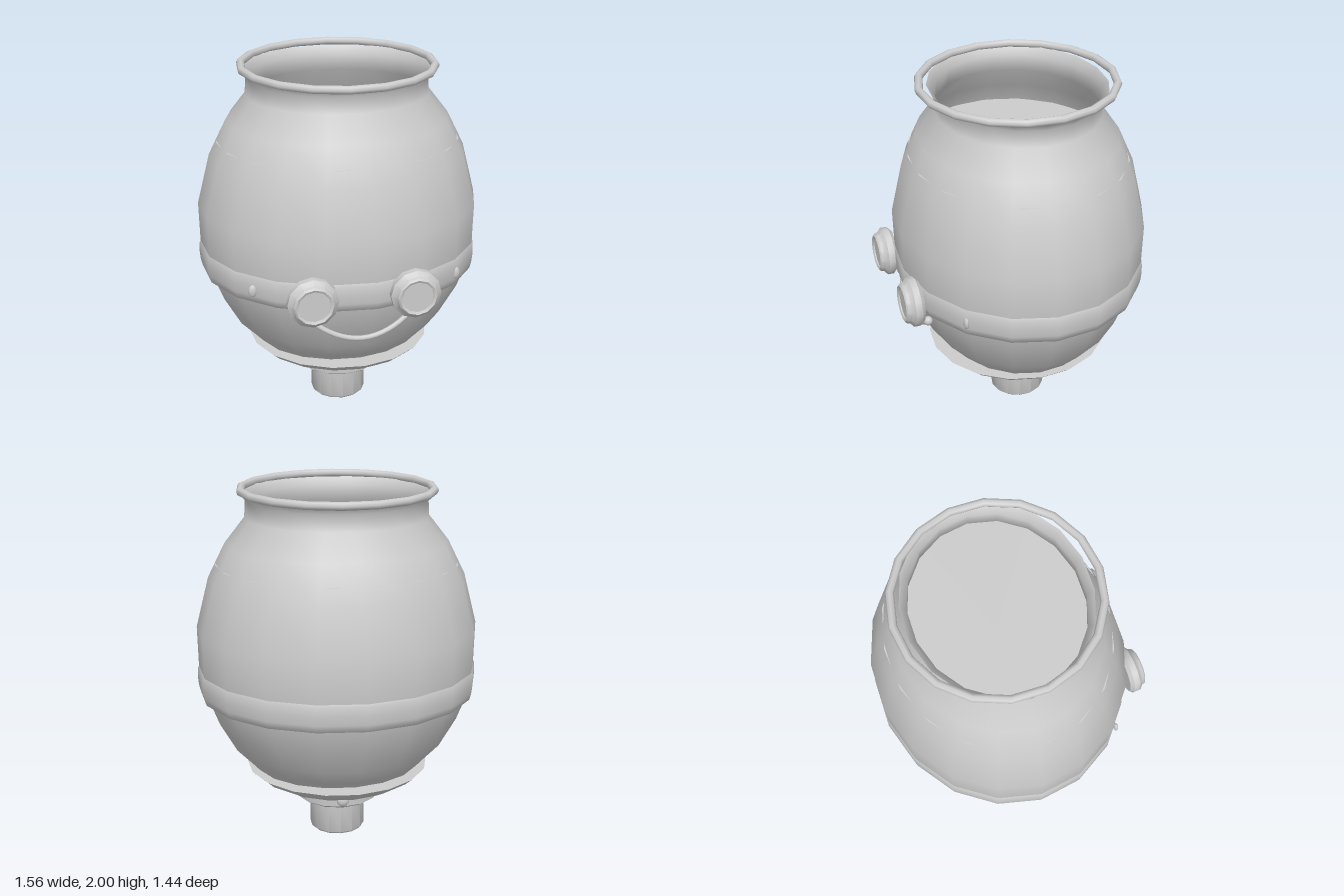
import * as THREE from 'three';
import { toCreasedNormals } from 'three/addons/utils/BufferGeometryUtils.js';

const CX = -0.005, CZ = -0.025, DEPTH = 0.885;
const PHASE = THREE.MathUtils.degToRad(5);

export function createModel() {
  const model = new THREE.Group();
  const metal = new THREE.MeshStandardMaterial({ color: 0xcccccc, side: THREE.DoubleSide });
  metal.name = 'light grey metal';

  const add = (name, geometry, x = CX, y = 0, z = CZ, parent = model) => {
    const mesh = new THREE.Mesh(geometry, metal);
    mesh.name = name;
    mesh.position.set(x, y, z);
    parent.add(mesh);
    return mesh;
  };
  // Turned part from [radius, height] points
  const turn = (points, sides, phase = PHASE, crease = 0) => {
    const g = new THREE.LatheGeometry(points.map(p => new THREE.Vector2(...p)), sides, phase);
    return crease ? toCreasedNormals(g, crease) : g;
  };

  // Hollow oval pot with a flared neck
  add('body', turn([
    [0.46, 0.40], [0.505, 0.45], [0.6, 0.55], [0.695, 0.72], [0.745, 0.85], [0.773, 1.0], [0.777, 1.22],
    [0.705, 1.5], [0.61, 1.69], [0.5, 1.83], [0.495, 1.92], [0.535, 1.965],
  ], 18)).scale.z = DEPTH;

  // Flat fill inside the pot
  add('innerFloor', new THREE.CircleGeometry(0.667, 18).rotateX(-Math.PI / 2), CX, 1.58).scale.z = DEPTH;

  // Round rim
  add('rim', new THREE.TorusGeometry(0.522, 0.022, 8, 18).rotateX(Math.PI / 2).rotateY(PHASE), CX, 1.978);

  // Band around the belly
  add('band', turn([
    [0.735, 0.83], [0.767, 0.84], [0.777, 0.88], [0.782, 0.93], [0.78, 0.98], [0.765, 1.005],
  ], 18)).scale.z = DEPTH;

  // Shallow dish, collar and pipe below
  add('dish', turn([
    [0.22, 0.28], [0.25, 0.287], [0.4, 0.33], [0.475, 0.375], [0.515, 0.412], [0.4, 0.412],
  ], 18, PHASE, 0.7));
  add('collar', turn([
    [0, 0.198], [0.215, 0.198], [0.24, 0.215], [0.242, 0.275], [0.225, 0.288], [0, 0.288],
  ], 14, 0, 0.8));
  add('pipe', turn([
    [0, 0], [0.145, 0], [0.156, 0.012], [0.156, 0.21], [0, 0.21],
  ], 14, 0, 0.8));

  // Three screws around the collar
  for (let i = 0; i < 3; i++) {
    const a = Math.PI / 3 + i * Math.PI * 2 / 3;
    const screw = add('collarScrew', new THREE.SphereGeometry(0.035, 10, 8),
      CX + 0.235 * Math.sin(a), 0.25, CZ + 0.235 * Math.cos(a));
    screw.rotation.y = a;
    screw.scale.z = 0.6;
  }

  for (const side of [-1, 1]) {
    // Goggle: stepped ring with a recessed lens
    const goggle = new THREE.Group();
    goggle.name = side > 0 ? 'leftGoggle' : 'rightGoggle';
    goggle.position.set(-0.008 + side * 0.272, 0.92, 0.628);
    model.add(goggle);
    add('goggleRing', turn([
      [0, 0], [0.115, 0], [0.135, 0.02], [0.135, 0.055], [0.112, 0.075], [0.108, 0.092],
      [0.098, 0.1], [0.085, 0.094], [0.085, 0.085],
    ], 12, 0, 0.75).rotateX(Math.PI / 2), 0, 0, 0, goggle);
    add('lens', new THREE.CircleGeometry(0.088, 12), 0, 0, 0.088, goggle);

    // Strap rivet beside the goggle
    const rivet = add('strapRivet', new THREE.SphereGeometry(0.035, 10, 8), -0.008 + side * 0.553, 0.915, 0.46);
    rivet.scale.set(0.65, 1, 0.4);

    // Mouth corner
    add('mouthCorner', new THREE.SphereGeometry(0.026, 10, 8), -0.008 + side * 0.272, 0.775, 0.588);
  }

  // Smiling wire mouth
  const smile = [];
  for (let i = 0; i <= 8; i++) {
    const t = i / 4 - 1, drop = 1 - t * t;
    smile.push(new THREE.Vector3(-0.008 + 0.268 * t, 0.77 - 0.107 * drop, 0.585 + 0.038 * drop));
  }
  add('mouth', new THREE.TubeGeometry(new THREE.CatmullRomCurve3(smile), 16, 0.015, 8), 0, 0, 0);

  return model;
}
